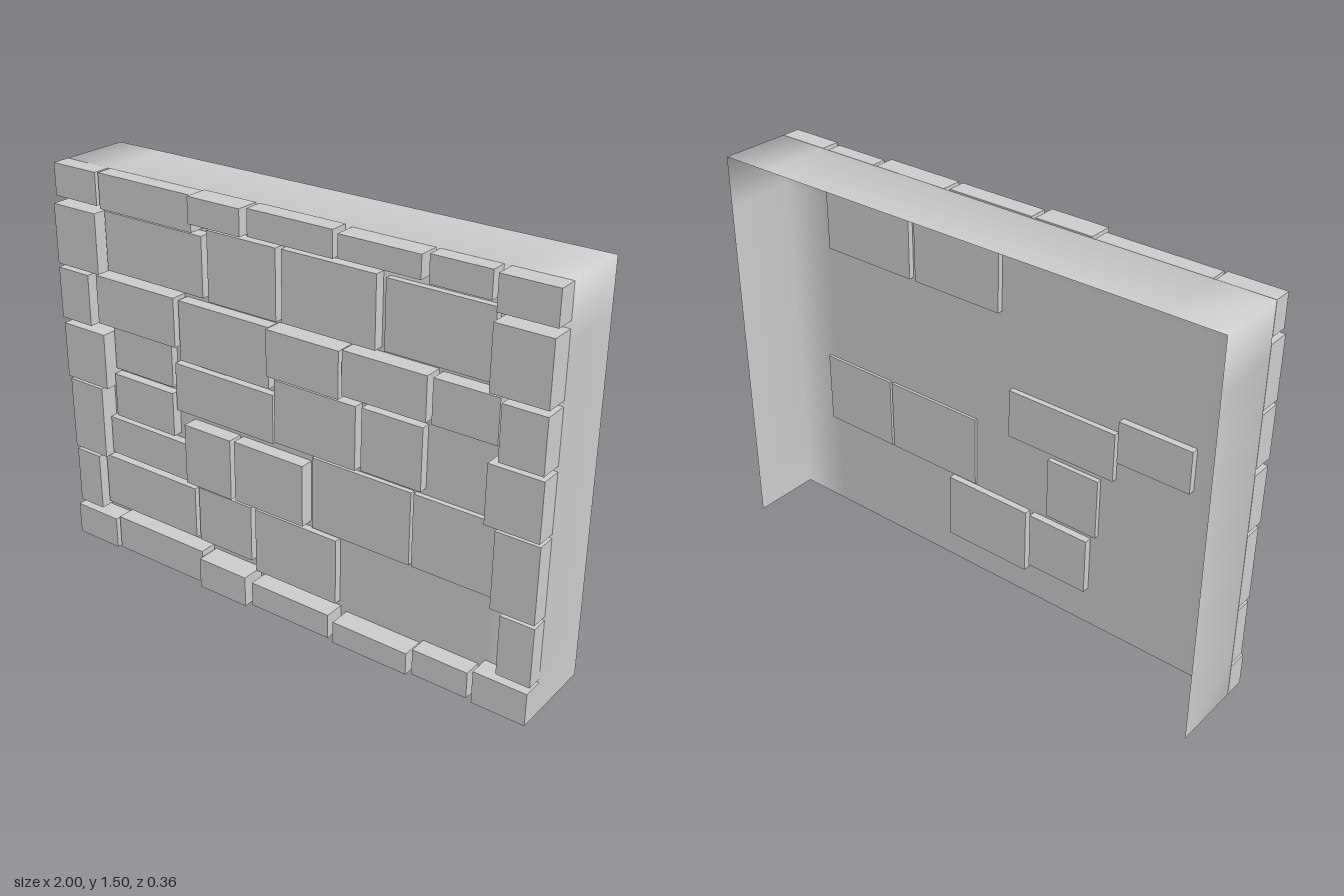
import * as THREE from 'three';
import { mergeVertices } from 'three/addons/utils/BufferGeometryUtils.js';

const W = 2, H = 1.5, BACK = -0.18, FACE = 0.086;

// Courses of stones: [left, right, bottom, top, front z, optional back z]
const courses = {
  top: [
    [-1, -0.8, 1.38, 1.5, 0.155], [-0.79, -0.37, 1.37, 1.5, 0.15], [-0.36, -0.14, 1.41, 1.505, 0.175],
    [-0.125, 0.215, 1.41, 1.505, 0.155], [0.24, 0.545, 1.42, 1.5, 0.165], [0.56, 0.775, 1.405, 1.5, 0.145],
    [0.8, 1, 1.38, 1.5, 0.16],
  ],
  upper: [
    [-1, -0.8, 1.13, 1.355, 0.17], [-0.785, -0.34, 1.14, 1.36, 0.135], [-0.32, -0.03, 1.13, 1.385, 0.13],
    [-0.01, 0.36, 1.13, 1.385, 0.125, 0.065], [0.385, 0.775, 1.13, 1.375, 0.11, 0.065], [0.8, 1, 1.13, 1.355, 0.175],
  ],
  shoulder: [
    [-1, -0.855, 0.92, 1.115, 0.17], [-0.835, -0.465, 0.93, 1.115, 0.15], [-0.455, -0.06, 0.88, 1.105, 0.135],
    [-0.05, 0.245, 0.94, 1.11, 0.16], [0.255, 0.575, 0.955, 1.115, 0.155], [0.59, 0.825, 0.95, 1.11, 0.145],
    [0.845, 1, 0.915, 1.11, 0.175],
  ],
  middle: [
    [-1, -0.8, 0.68, 0.895, 0.165], [-0.795, -0.515, 0.75, 0.91, 0.115, 0.06], [-0.795, -0.51, 0.56, 0.73, 0.125],
    [-0.5, -0.06, 0.665, 0.85, 0.115, 0.065], [-0.045, 0.29, 0.68, 0.915, 0.125], [0.31, 0.545, 0.685, 0.915, 0.12],
    [0.805, 1, 0.68, 0.895, 0.165],
  ],
  lower: [
    [-1, -0.84, 0.38, 0.665, 0.155], [-0.835, -0.455, 0.39, 0.54, 0.12], [-0.44, -0.23, 0.4, 0.635, 0.145, 0.068],
    [-0.215, 0.085, 0.4, 0.635, 0.14], [0.1, 0.5, 0.385, 0.66, 0.105, 0.075], [0.51, 0.825, 0.385, 0.66, 0.105, 0.075],
    [0.84, 1, 0.38, 0.665, 0.155],
  ],
  base: [
    [-1, -0.885, 0.14, 0.365, 0.15], [-0.87, -0.42, 0.165, 0.37, 0.125], [-0.41, -0.165, 0.155, 0.375, 0.115, 0.058],
    [-0.145, 0.21, 0.12, 0.375, 0.115, 0.06], [0.875, 1, 0.14, 0.365, 0.15],
  ],
  bottom: [
    [-1, -0.8, 0, 0.125, 0.165], [-0.79, -0.37, 0, 0.135, 0.155], [-0.36, -0.145, 0, 0.12, 0.18],
    [-0.125, 0.215, 0.005, 0.1, 0.165], [0.24, 0.545, 0, 0.085, 0.17], [0.56, 0.775, 0, 0.1, 0.155],
    [0.8, 1, 0, 0.125, 0.165],
  ],
};

// Thin shell with front, top and two sides; back and bottom stay open
function shellGeometry() {
  const box = new THREE.BoxGeometry(W, H, FACE - BACK, 10, 8, 1);
  const index = Array.from(box.index.array);
  const kept = [0, 1, 2, 4].flatMap((i) => {
    const g = box.groups[i];
    return index.slice(g.start, g.start + g.count);
  });
  box.setIndex(kept);
  box.clearGroups();
  box.deleteAttribute('normal');
  box.deleteAttribute('uv');
  // shared corners give the soft shading across the folds
  const shell = mergeVertices(box);
  shell.computeVertexNormals();
  shell.translate(0, H / 2, (FACE + BACK) / 2);
  return shell;
}

export function createModel() {
  const model = new THREE.Group();
  model.name = 'stoneWall';
  const stoneMaterial = new THREE.MeshStandardMaterial({ color: 0xcccccc });
  const shellMaterial = new THREE.MeshStandardMaterial({ color: 0xcccccc, side: THREE.DoubleSide });

  const shell = new THREE.Mesh(shellGeometry(), shellMaterial);
  shell.name = 'wallShell';
  model.add(shell);

  // Stones, a few of them set right through the shell
  for (const [name, stones] of Object.entries(courses)) {
    const course = new THREE.Group();
    course.name = `${name}Course`;
    for (const [x0, x1, y0, y1, front, back = FACE + 0.001] of stones) {
      const stone = new THREE.Mesh(new THREE.BoxGeometry(x1 - x0, y1 - y0, front - back), stoneMaterial);
      stone.position.set((x0 + x1) / 2, (y0 + y1) / 2, (front + back) / 2);
      stone.name = 'stone';
      course.add(stone);
    }
    model.add(course);
  }
  return model;
}
